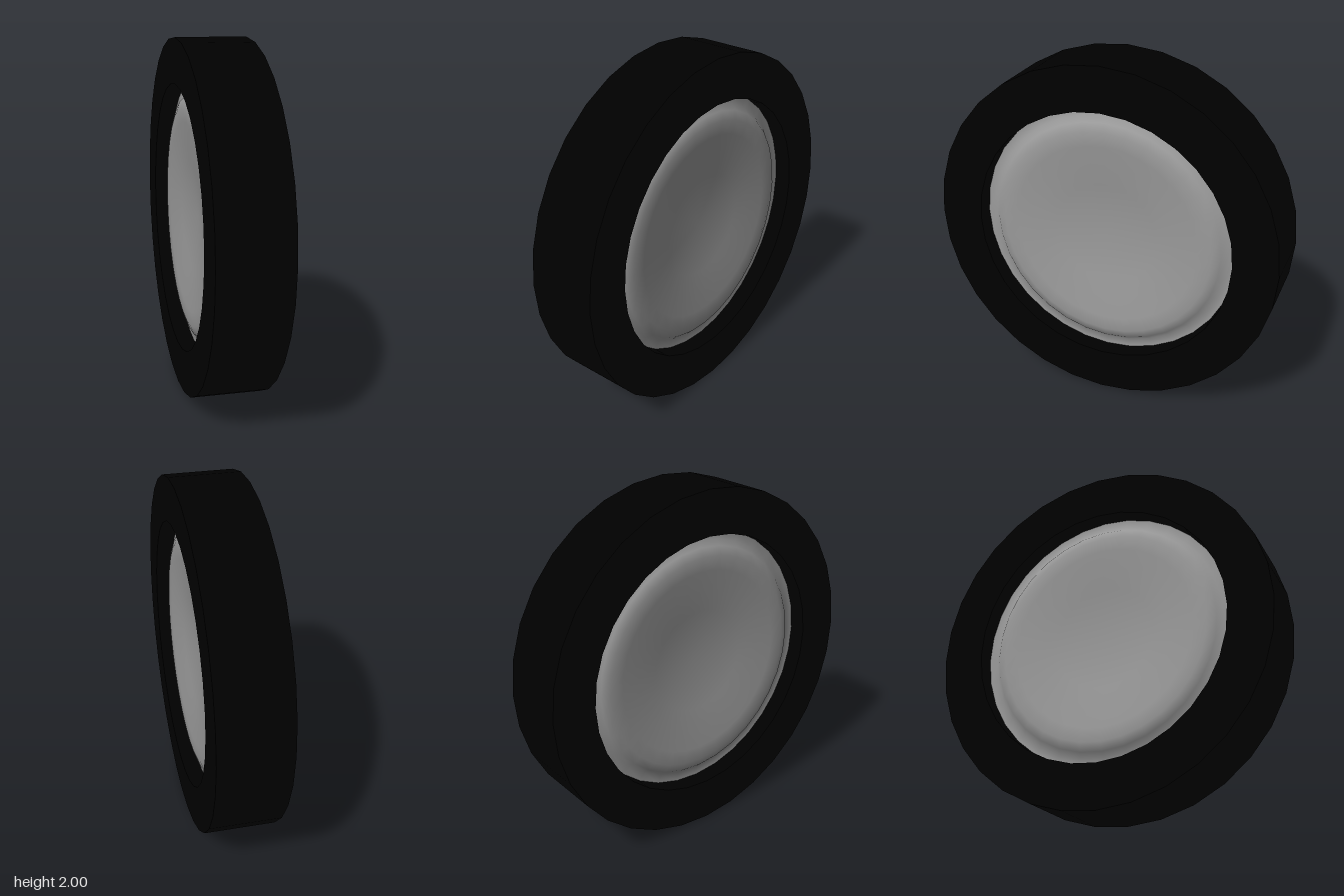
import * as THREE from 'three';
import { toCreasedNormals } from 'three/addons/utils/BufferGeometryUtils.js';

const SEGMENTS = 32;
const HALF_WIDTH = 0.197;
const OUTER = 1;
const INNER = 0.75;

// Square-shouldered tyre: a ring extruded along the axle (arcs get two steps per curve segment)
function makeTyre() {
  const ring = new THREE.Shape().absarc(0, 0, OUTER, 0, Math.PI * 2, false);
  ring.holes.push(new THREE.Path().absarc(0, 0, INNER, 0, Math.PI * 2, true));
  const geometry = new THREE.ExtrudeGeometry(ring, {
    depth: HALF_WIDTH * 2, bevelEnabled: false, curveSegments: SEGMENTS / 2,
  });
  geometry.translate(0, 0, -HALF_WIDTH);
  geometry.rotateY(Math.PI / 2);
  const tyre = new THREE.Mesh(toCreasedNormals(geometry, 0.6),
    new THREE.MeshStandardMaterial({ color: 0x000000 }));
  tyre.name = 'tyre';
  return tyre;
}

// Recessed hub disc: dished centre, rolled edge and a groove by the tyre, the same on both sides
function makeHub() {
  const face = [[0, 0.07], [0.3, 0.108], [0.54, 0.138], [0.62, 0.143],
    [0.67, 0.127], [0.7, 0.097], [INNER, 0.1]];
  const profile = [
    ...face.map(([r, x]) => new THREE.Vector2(r, -x)),
    ...face.map(([r, x]) => new THREE.Vector2(r, x)).reverse(),
  ];
  const geometry = new THREE.LatheGeometry(profile, SEGMENTS);
  geometry.rotateZ(-Math.PI / 2);
  const hub = new THREE.Mesh(toCreasedNormals(geometry, 1.2),
    new THREE.MeshStandardMaterial({ color: 0x9b9b9b }));
  hub.name = 'hubDisc';
  return hub;
}

export function createModel() {
  const wheel = new THREE.Group();
  wheel.name = 'wheel';
  wheel.add(makeTyre(), makeHub());
  wheel.children.forEach((part) => { part.position.y = OUTER; });
  return wheel;
}
